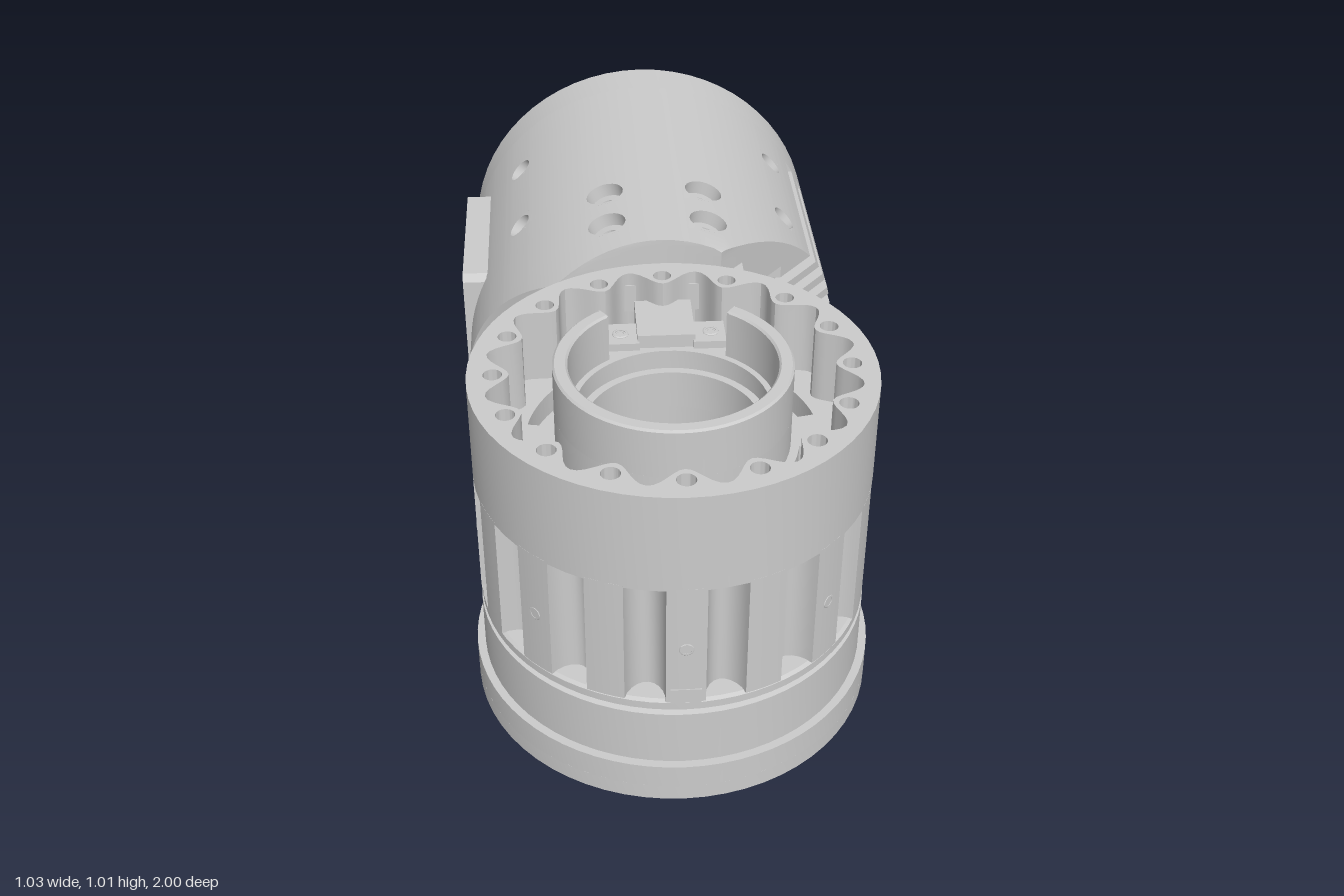
import * as THREE from 'three';
import { toCreasedNormals } from 'three/addons/utils/BufferGeometryUtils.js';

const mat = new THREE.MeshStandardMaterial({ color: 0xcccccc, side: THREE.DoubleSide });
const TAU = Math.PI * 2;
const R = 0.507, CY = 0.507;   // motor housing radius and axis height
const JZ = 0.505;              // z of the upright joint axis

function add(parent, name, geo, x = 0, y = 0, z = 0) {
  const m = new THREE.Mesh(geo, mat);
  m.name = name;
  m.position.set(x, y, z);
  parent.add(m);
  return m;
}
const crease = g => toCreasedNormals(g, 0.5);
const lathe = (pts, seg = 64, start = 0, length = TAU) =>
  crease(new THREE.LatheGeometry(pts.map(p => new THREE.Vector2(...p)), seg, start, length));
function indexed(pos, idx) {
  const g = new THREE.BufferGeometry();
  g.setAttribute('position', new THREE.Float32BufferAttribute(pos, 3));
  g.setIndex(idx);
  g.computeVertexNormals();
  return crease(g);
}
// upright plate from a plan shape, y0 to y1
function plate(shape, y0, y1) {
  const g = new THREE.ExtrudeGeometry(shape, { depth: y1 - y0, bevelEnabled: false, curveSegments: 32 });
  return crease(g.rotateX(-Math.PI / 2).translate(0, y0, 0));
}
const circle = (r, x = 0, y = 0) => new THREE.Path().absarc(x, y, r, 0, TAU, true);
const disc = r => new THREE.Shape().absarc(0, 0, r, 0, TAU, false);
function arcSlot(r0, r1, a, half) {
  return new THREE.Path().absarc(0, 0, r1, a - half, a + half, false)
    .absarc(0, 0, r0, a + half, a - half, true).closePath();
}
function ring(n, fn, start = 0) {
  for (let i = 0; i < n; i++) fn(start + i / n * TAU);
}
const polar = (r, a) => [r * Math.cos(a), r * Math.sin(a)];

// Screw seat: low ring with a sunken centre, along +y
const seat = r => lathe([[r, -0.02], [r, 0.001], [r * 0.85, 0.003],
  [r * 0.65, 0.003], [r * 0.65, 0.001], [r * 0.45, 0.001], [r * 0.4, -0.02], [0, -0.02]], 20);

// ---- Counterbored holes in the housing: a = angle from the top, h = half window ----
const bolts = [];
for (const q of [1, -1]) for (const s of [0, 1]) {
  const at = a => q * (s ? Math.PI - a : a);
  for (const z of [-0.25, -0.09]) bolts.push({ a: at(0.259), z, h: 0.055 });
  for (const z of [-0.65, -0.33]) bolts.push({ a: at(Math.PI / 4), z, h: 0.04 });
}
function boltHole({ a, z, h }) {
  const rings = [[0, 0], [0.9, 0], [0.9, 0.035], [0.45, 0.035], [0.45, 0.1], [0.001, 0.1]];
  const pos = [], idx = [], n = 24;
  rings.forEach(([s, depth], k) => {
    for (let i = 0; i <= n; i++) {
      const [c, d] = polar(1, i / n * TAU);
      const f = h * (s || 1 / Math.max(Math.abs(c), Math.abs(d)));   // outermost ring is square
      const t = a + f * c / R;
      pos.push((R - depth) * Math.sin(t), CY + (R - depth) * Math.cos(t), z + f * d);
      if (k && i < n) {
        const p = k * (n + 1) + i, o = p - n - 1;
        idx.push(o, p, p + 1, o, p + 1, o + 1);
      }
    }
  });
  return indexed(pos, idx);
}

// ---- Motor housing: plan outlines lofted from bottom to top ----
const SLOTS = 10, S0 = 0.235, PITCH = 0.0575, SLOT_H = 0.033;
const inSlot = y => {
  const t = (y - S0) / PITCH;
  return t > 0 && t < SLOTS && (t % 1) * PITCH < SLOT_H;
};
function frontZ(x, y) {
  const left = 0.08 + (x + 0.3) * 0.88;
  const right = -(x - 0.2) * 1.15 - (inSlot(y) ? 0.06 : 0);
  const saddle = JZ - Math.sqrt(Math.max(0, 0.475 ** 2 - x * x));
  const cavity = y > 0.2 && y < 0.82 && x > -0.25 ? -0.15 : 1;
  return Math.min(left, right, saddle, cavity);
}
function outline(y) {
  const w = Math.sqrt(Math.max(0, R * R - (y - CY) ** 2));
  const wf = y > 0.275 && y < 0.735 ? Math.min(w, 0.44) : w;   // fan pocket
  const ws = inSlot(y) ? w - 0.06 : w;                         // cooling slot
  const pts = [[-w, -0.86], [-w, -0.745], [-wf, -0.745]];
  for (const z of [-0.69, -0.61, -0.37, -0.305, -0.29, -0.28]) pts.push([-wf, z]);
  for (const z of [-0.28, -0.195, -0.145, -0.035]) pts.push([-w, Math.min(z, frontZ(-w, y))]);
  const xs = [-0.51, -0.44, -0.37, -0.3, -0.25, -0.2499, -0.2, -0.15, -0.1, -0.05, 0,
    0.05, 0.1, 0.15, 0.2, 0.25, 0.278, 0.33, 0.38, 0.43, 0.51];
  for (const x0 of xs) {
    const x = Math.max(-w, Math.min(ws, x0));
    pts.push([x, frontZ(x, y)]);
  }
  for (const z of [-0.035, -0.145, -0.195, -0.29, -0.305, -0.37, -0.61, -0.69]) {
    pts.push([ws, Math.min(z, frontZ(ws, y))]);
  }
  pts.push([ws, -0.81], [w, -0.81], [w, -0.86]);
  return pts;
}
function housing() {
  const ys = [];
  for (let i = 0; i <= 48; i++) ys.push(CY - R * Math.cos(i / 48 * Math.PI));
  for (const { a, h } of bolts) for (const e of [-h, h]) ys.push(CY + R * Math.cos(a + e / R));
  const breaks = [0.2, 0.82, 0.275, 0.735];
  for (let i = 0; i < SLOTS; i++) breaks.push(S0 + i * PITCH, S0 + i * PITCH + SLOT_H);
  for (const b of breaks) ys.push(b - 1e-4, b + 1e-4);
  ys.sort((a, b) => a - b);
  const rows = ys.map(outline), n = rows[0].length, pos = [], idx = [];
  // leave a window where a bolt hole is fitted
  const open = (i, j) => {
    const x = (rows[i][j][0] + rows[i - 1][j][0]) / 2, y = (ys[i] + ys[i - 1]) / 2;
    const z = (rows[i][j][1] + rows[i][j + 1][1]) / 2, t = Math.atan2(x, y - CY);
    return bolts.some(b => Math.abs(t - b.a) * R < b.h && Math.abs(z - b.z) < b.h);
  };
  rows.forEach((row, i) => row.forEach(([x, z], j) => {
    pos.push(x, ys[i], z);
    if (i && j < n - 1 && !open(i, j)) {
      const d = i * n + j, a = d - n;
      idx.push(a, a + 1, d + 1, a, d + 1, d);
    }
  }));
  return indexed(pos, idx);
}

function motor() {
  const g = new THREE.Group();
  g.name = 'motor';
  add(g, 'motorHousing', housing());
  for (const b of bolts) add(g, 'boltHole', boltHole(b));
  // open rear end with stepped discs inside the rim
  const rear = new THREE.Group();
  rear.name = 'rearEnd';
  rear.position.y = CY;
  rear.rotation.x = -Math.PI / 2;
  g.add(rear);
  add(rear, 'rearRim', lathe([[R, 0.855], [R, 0.985], [0.493, 1], [0.475, 1], [0.46, 0.985], [0.455, 0.9],
    [0.385, 0.9], [0.38, 0.92], [0.36, 0.92], [0.355, 0.91], [0.245, 0.91], [0.24, 0.895], [0.215, 0.895],
    [0.21, 0.915], [0.115, 0.915], [0.11, 0.9], [0.1, 0.9], [0.095, 0.925], [0.07, 0.925],
    [0.065, 0.86], [0.03, 0.86], [0.03, 0.83], [0, 0.83]]));
  ring(8, a => { const [x, z] = polar(0.3, a); add(rear, 'rearScrew', seat(0.022), x, 0.911, z); }, TAU / 16);
  ring(6, a => { const [x, z] = polar(0.165, a); add(rear, 'hubScrew', seat(0.015), x, 0.916, z); });
  for (const a of [1.35, 1.47, 1.6, 1.75, 3.5, 5.9]) {
    const [x, z] = polar(0.42, a);
    add(rear, 'rimScrew', seat(0.017), x, 0.901, z);
  }
  // lugs that clamp the upright joint
  for (const y of [0.125, 0.88]) add(g, 'clampLug', new THREE.BoxGeometry(0.42, 0.075, 0.15), 0, y, 0.01);
  ring(4, a => {
    const [x, y] = polar(0.17, a);
    add(g, 'cavityScrew', seat(0.03).rotateX(Math.PI / 2), 0.03 + x, CY + y, -0.148);
  }, Math.PI / 4);
  return g;
}

// ---- Cooling fan on the right side ----
function fan() {
  const g = new THREE.Group();
  g.name = 'fan';
  const h = 0.235, c = 0.018;
  const s = new THREE.Shape([[-h + c, -h], [h - c, -h], [h, -h + c], [h, h - c], [h - c, h], [-h + c, h],
    [-h, h - c], [-h, -h + c]].map(p => new THREE.Vector2(...p)));
  s.holes.push(circle(0.215));
  ring(4, a => s.holes.push(circle(0.02, ...polar(0.285, a))), Math.PI / 4);
  add(g, 'fanFrame', plate(s, 0, 0.076));
  add(g, 'fanHub', lathe([[0.115, 0], [0.115, 0.06], [0.108, 0.066], [0, 0.066]], 40));
  ring(7, a => {
    const b = new THREE.BoxGeometry(0.1, 0.005, 0.09).rotateX(0.6).translate(0.156, 0.034, 0);
    add(g, 'fanBlade', b.rotateY(a));
  });
  g.rotation.z = Math.PI / 2;
  g.position.set(-0.442, 0.505, -0.513);
  return g;
}

// ---- Upright hollow joint ----
function joint() {
  const g = new THREE.Group();
  g.name = 'hollowJoint';
  g.position.z = JZ;
  const bore = 0.205;
  add(g, 'lowerBody', lathe([[bore, 0.11], [0.49, 0.11], [0.49, 0.175], [0.47, 0.175], [0.47, 0.325], [0.455, 0.328],
    [0.455, 0.338], [0.468, 0.34], [0.468, 0.36], [0.46, 0.366], [bore, 0.366], [bore, 0.11]], 72));
  // bottom flange with radial pockets
  const flange = disc(0.49);
  flange.holes.push(circle(0.36));
  ring(8, a => flange.holes.push(new THREE.Path().absellipse(...polar(0.425, a), 0.05, 0.024, 0, TAU, true, a)), TAU / 16);
  add(g, 'bottomFlange', plate(flange, 0.07, 0.112));
  const base = disc(0.335);
  base.holes.push(circle(bore + 0.015));
  ring(8, a => base.holes.push(circle(0.015, ...polar(0.285, a))), TAU / 16);
  add(g, 'bottomPlate', plate(base, 0.052, 0.112));
  ring(4, a => {
    const [x, z] = polar(0.3, a);
    add(g, 'bottomScrew', lathe([[0, 0.065], [0.014, 0.065], [0.016, 0.046], [0.03, 0.046], [0.03, 0.07]], 20), x, 0, z);
  });
  // fluted waist
  const pts = [];
  ring(16, a => {
    for (let i = 0; i <= 10; i++) {
      const t = -Math.cos(i / 10 * Math.PI);
      pts.push(new THREE.Vector2(...polar(0.47 - 0.06 * Math.sqrt(Math.max(0, 1 - t * t)), a + t * 0.1)));
    }
    for (const e of [0.148, 0.1963, 0.245]) pts.push(new THREE.Vector2(...polar(0.47, a + e)));
  }, TAU / 32);
  const waist = new THREE.Shape(pts);
  waist.holes.push(circle(bore));
  add(g, 'flutedWaist', plate(waist, 0.365, 0.7));
  ring(8, a => {
    const [x, z] = polar(0.468, a);
    const m = add(g, 'fluteScrew', seat(0.018), x, 0.525, z);
    m.quaternion.setFromUnitVectors(new THREE.Vector3(0, 1, 0), new THREE.Vector3(x, 0, z).normalize());
  });
  add(g, 'frontTab', new THREE.BoxGeometry(0.07, 0.04, 0.05), 0, 0.385, 0.447);
  // upper ring: scalloped inside, drilled rim
  const upper = disc(0.47), inner = [], N = 16;
  for (let i = 0; i < N * 12; i++) {
    const a = -i / (N * 12) * TAU;
    inner.push(new THREE.Vector2(...polar(0.403 - 0.03 * Math.cos(a * N), a)));
  }
  upper.holes.push(new THREE.Path(inner));
  ring(N, a => upper.holes.push(circle(0.022, ...polar(0.41, a))));
  add(g, 'upperRing', plate(upper, 0.695, 0.95));
  // cup floor with curved slots
  const floor = disc(0.44);
  floor.holes.push(circle(0.23));
  for (const k of [-3, -1, 1, 7, 5]) floor.holes.push(arcSlot(0.295, 0.345, k * Math.PI / 6, 0.33));
  add(g, 'cupFloor', plate(floor, 0.698, 0.76));
  // centre collar, its upper wall open toward the motor
  add(g, 'collarBase', lathe([[0.275, 0.7], [0.275, 0.85], [0.225, 0.85], [0.225, 0.8], [bore, 0.8], [bore, 0.69]]));
  const gap = 0.63;
  add(g, 'collarWall', lathe([[0.275, 0.85], [0.275, 0.97], [0.27, 0.975], [0.245, 0.975], [0.24, 0.97],
    [0.24, 0.85]], 56, Math.PI + gap, TAU - 2 * gap));
  for (const s of [1, -1]) {
    add(g, 'collarEnd', new THREE.BoxGeometry(0.004, 0.122, 0.035).rotateY(s * -gap), s * 0.2575 * Math.sin(gap), 0.911, -0.2575 * Math.cos(gap));
  }
  // connector block bridging to the motor
  add(g, 'connectorBlock', new THREE.BoxGeometry(0.14, 0.13, 0.16), 0, 0.82, -0.32);
  for (const s of [1, -1]) {
    add(g, 'connectorEar', new THREE.BoxGeometry(0.08, 0.08, 0.09), s * 0.105, 0.83, -0.275);
    add(g, 'connectorScrew', seat(0.02), s * 0.11, 0.87, -0.275);
  }
  return g;
}

export function createModel() {
  const model = new THREE.Group();
  model.name = 'jointActuator';
  model.add(motor(), fan(), joint());
  model.position.x = 0.005;
  return model;
}
